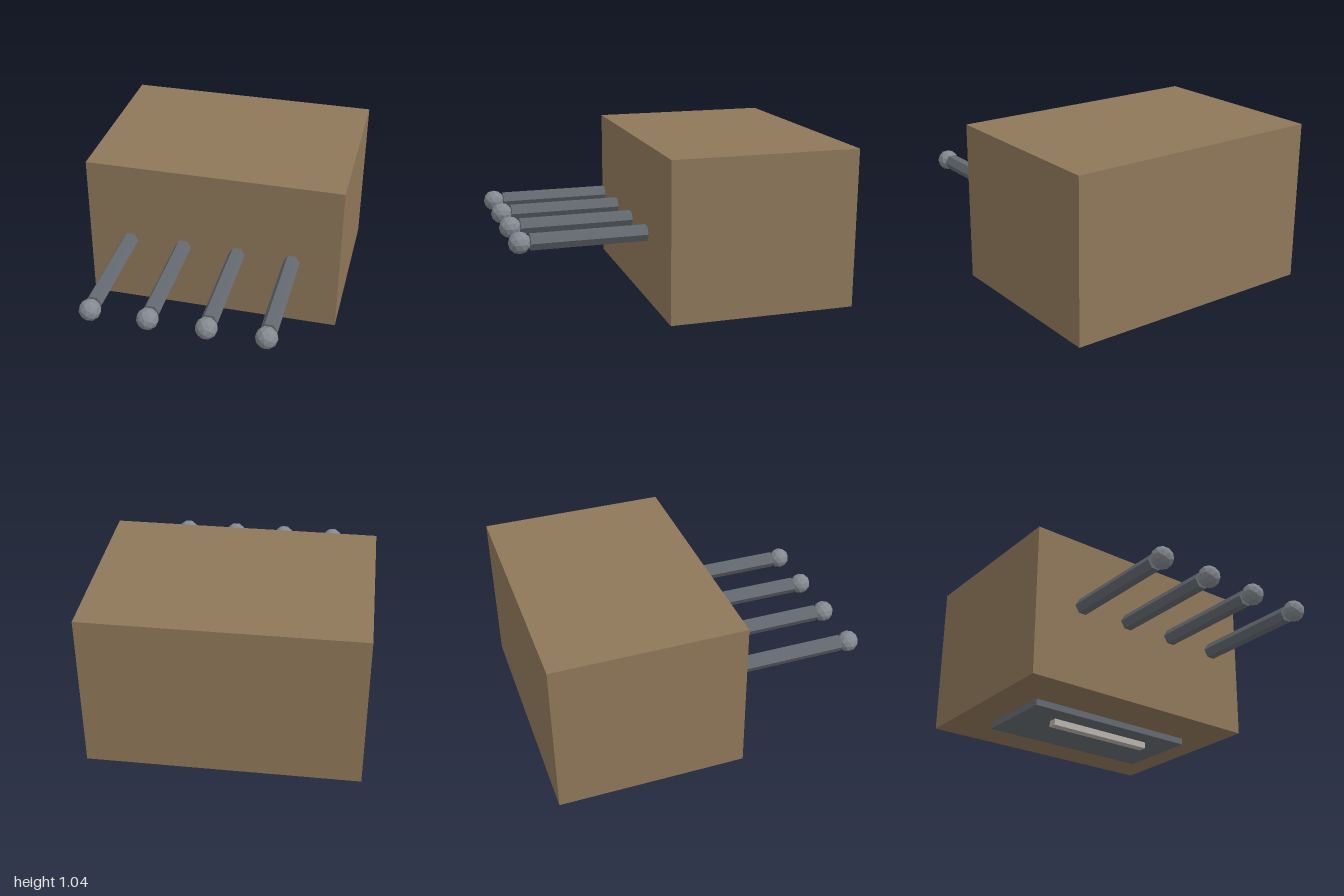
import * as THREE from 'three';

export function createModel() {
  const model = new THREE.Group();
  const mat = (name, color) => {
    const m = new THREE.MeshStandardMaterial({ color, flatShading: true });
    m.name = name;
    return m;
  };
  const wood = mat('brown', 0x8f785a);
  const steel = mat('darkGrey', 0x646a71);
  const knob = mat('grey', 0x838a90);
  const pale = mat('paleGrey', 0xbab3ad);

  const add = (name, geometry, material, x, y, z) => {
    const mesh = new THREE.Mesh(geometry, material);
    mesh.name = name;
    mesh.position.set(x, y, z);
    model.add(mesh);
  };

  // Main block, with a plate and a narrow strip below it
  add('body', new THREE.BoxGeometry(1.59, 0.96, 1.135), wood, 0, 0.56, -0.4325);
  add('basePlate', new THREE.BoxGeometry(1.14, 0.04, 0.52), steel, 0, 0.06, -0.43);
  add('baseStrip', new THREE.BoxGeometry(0.71, 0.04, 0.055), pale, 0, 0.02, -0.3175);

  // Four hexagonal rods tipped with faceted balls
  const rod = new THREE.CylinderGeometry(0.05, 0.05, 0.68, 6).rotateY(Math.PI / 6).rotateX(Math.PI / 2);
  const ball = new THREE.IcosahedronGeometry(0.065, 1);
  for (const x of [-0.51, -0.17, 0.17, 0.51]) {
    add('rod', rod, steel, x, 0.56, 0.537);
    add('rodBall', ball, knob, x, 0.56, 0.935);
  }
  return model;
}
